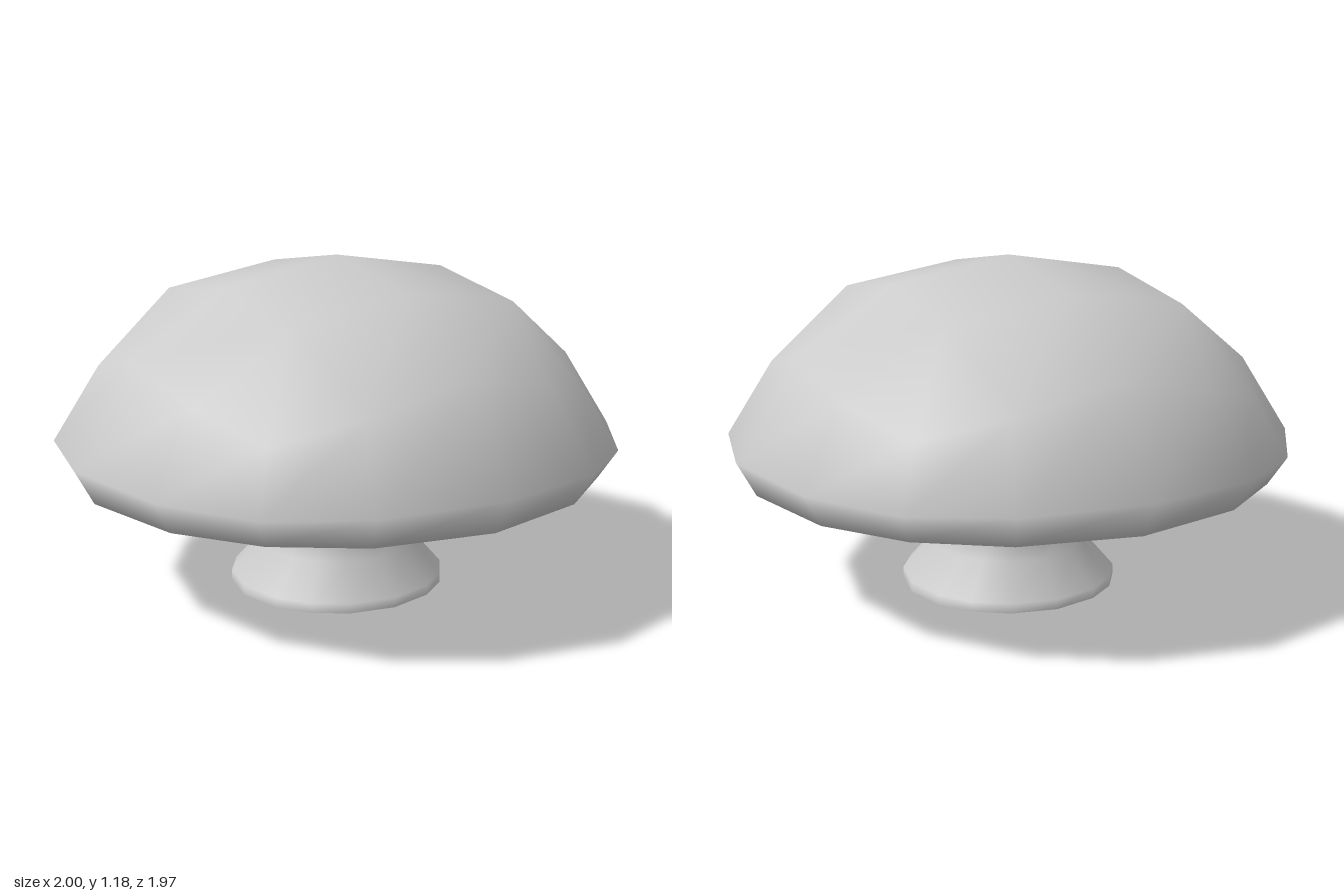
import * as THREE from 'three';

const SIDES = 16;

// One ring point: radius and height blend from the axis directions (r0, y0) to the diagonals (r1, y1).
function ringPoint(n, [r0, y0, r1 = r0, y1 = y0, dip = 0]) {
  const quarter = n * Math.PI / 2;
  const angle = (n * 22.5 + 2.4 * Math.sin(quarter)) * Math.PI / 180;
  const t = (1 - Math.cos(quarter)) / 2;
  const r = r0 + (r1 - r0) * t;
  const y = y0 + (y1 - y0) * t - dip * Math.cos(angle - Math.PI / 4);
  return [r * Math.cos(angle), y, r * Math.sin(angle) * 0.985];
}

// Collects vertices and quads, then makes a smooth indexed geometry.
function surface() {
  const positions = [], indices = [];
  const add = (p) => positions.push(...p) / 3 - 1;
  const quad = (a, b, c, d) => indices.push(a, b, c, a, c, d);
  const ring = (spec) => Array.from({ length: SIDES }, (_, n) => add(ringPoint(n, spec)));
  const bridge = (a, b) => {
    for (let n = 0; n < SIDES; n++) {
      const m = (n + 1) % SIDES;
      quad(a[n], a[m], b[m], b[n]);
    }
  };
  const loft = (specs, first = null) => {
    let previous = first;
    for (const spec of specs) {
      const next = ring(spec);
      if (previous) bridge(previous, next);
      previous = next;
    }
  };
  const build = () => {
    const g = new THREE.BufferGeometry();
    g.setAttribute('position', new THREE.Float32BufferAttribute(positions, 3));
    g.setIndex(indices);
    g.computeVertexNormals();
    return g;
  };
  return { add, quad, ring, loft, build };
}

// Underside ring where the stem flares into the cap; it sags a little to one corner.
const FLARE = [0.46, 0.37, 0.46, 0.37, 0.012];

function capGeometry() {
  const s = surface();
  // Crown: a four by four patch of quads bent into a dome
  const centre = s.add([0, 1.18, 0]);
  const inner = Array.from({ length: 8 }, (_, n) =>
    s.add(ringPoint(n * 2, [0.445, 1.105, 0.62, 1.04])));
  const outer = s.ring([0.79, 0.89, 0.88, 0.73]);
  for (let q = 0; q < 4; q++) {
    const [a0, a1, a2] = [0, 1, 2].map((k) => inner[(q * 2 + k) % 8]);
    const [b0, b1, b2, b3, b4] = [0, 1, 2, 3, 4].map((k) => outer[(q * 4 + k) % SIDES]);
    s.quad(centre, a2, a1, a0);
    s.quad(a0, a1, b1, b0);
    s.quad(a1, b3, b2, b1);
    s.quad(a1, a2, b4, b3);
  }
  // Rim, lip and underside
  s.loft([
    [1, 0.557, 1, 0.535],
    [0.935, 0.435],
    [0.76, 0.425],
    FLARE,
  ], outer);
  return s.build();
}

function stemGeometry() {
  const s = surface();
  // Flare, neck and spreading foot, open below
  s.loft([
    FLARE,
    [0.295, 0.36],
    [0.27, 0.27],
    [0.285, 0.15],
    [0.385, 0.035],
    [0.385, 0],
  ]);
  return s.build();
}

export function createModel() {
  const material = new THREE.MeshStandardMaterial({ color: 0xcccccc, side: THREE.DoubleSide });
  const group = new THREE.Group();
  group.name = 'mushroom';
  const parts = { cap: capGeometry(), stem: stemGeometry() };
  for (const [name, geometry] of Object.entries(parts)) {
    const mesh = new THREE.Mesh(geometry, material);
    mesh.name = name;
    group.add(mesh);
  }
  return group;
}
